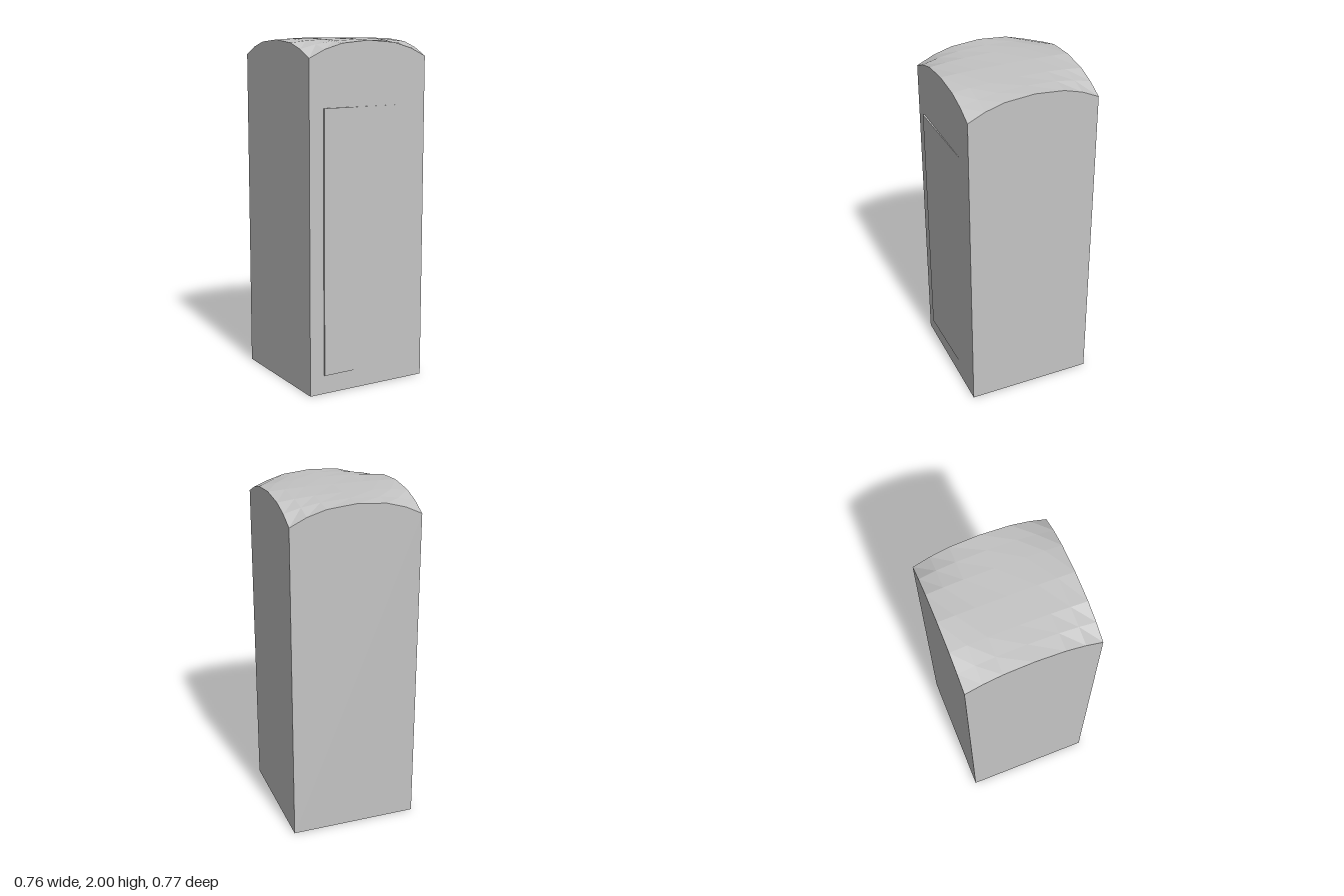
import * as THREE from 'three';

const HALF = 0.378;                                        // half width of the square plan
const LINES = [-HALF, -0.28, -0.17, 0, 0.17, 0.28, HALF];   // facet lines of the vaulted roof

// Roof height: almost flat along both axes, dropping towards the four corners
function roofHeight(x, z) {
  const u = Math.abs(x / HALF) ** 2.3, v = Math.abs(z / HALF) ** 2.3;
  return 2 - 0.007 * (u + v) - 0.086 * u * v;
}

function named(name, geometry, material) {
  const mesh = new THREE.Mesh(geometry, material);
  mesh.name = name;
  return mesh;
}

export function createModel() {
  const group = new THREE.Group();
  group.name = 'booth';
  const grey = new THREE.MeshStandardMaterial({ color: 0xc4c4c4, side: THREE.DoubleSide, flatShading: true });
  grey.name = 'plain grey';

  const body = new THREE.Group();
  body.name = 'body';
  body.position.z = -0.0065;
  group.add(body);

  // Four thin walls with arched tops
  const outline = [[-HALF, 0], [HALF, 0], ...[...LINES].reverse().map(x => [x, roofHeight(x, HALF)])];
  const wallShape = new THREE.Shape(outline.map(([x, y]) => new THREE.Vector2(x, y)));
  ['frontWall', 'leftWall', 'backWall', 'rightWall'].forEach((name, i) => {
    const geometry = new THREE.ShapeGeometry(wallShape).translate(0, 0, HALF).rotateY(i * Math.PI / 2);
    body.add(named(name, geometry, grey));
  });

  // Faceted vaulted roof
  const n = LINES.length - 1;
  const roof = new THREE.PlaneGeometry(1, 1, n, n).rotateX(-Math.PI / 2);
  const p = roof.attributes.position;
  for (let i = 0; i < p.count; i++) {
    const x = LINES[i % (n + 1)], z = LINES[Math.floor(i / (n + 1))];
    p.setXYZ(i, x, roofHeight(x, z), z);
  }
  roof.computeVertexNormals();
  body.add(named('roof', roof, grey));

  // Floor raised above the open base
  const floor = new THREE.PlaneGeometry(2 * HALF, 2 * HALF).rotateX(Math.PI / 2).translate(0, 0.105, 0);
  body.add(named('floor', floor, grey));

  // Door standing slightly ajar, its hinge side sunk into the front wall
  const plan = new THREE.Shape([[-0.29, -0.37], [-0.29, -0.382], [0.29, -0.371], [0.29, -0.37]]
    .map(([x, y]) => new THREE.Vector2(x, y)));
  const door = new THREE.ExtrudeGeometry(plan, { depth: 1.52, bevelEnabled: false })
    .rotateX(-Math.PI / 2).translate(0, 0.11, 0);
  group.add(named('door', door, grey));

  return group;
}
